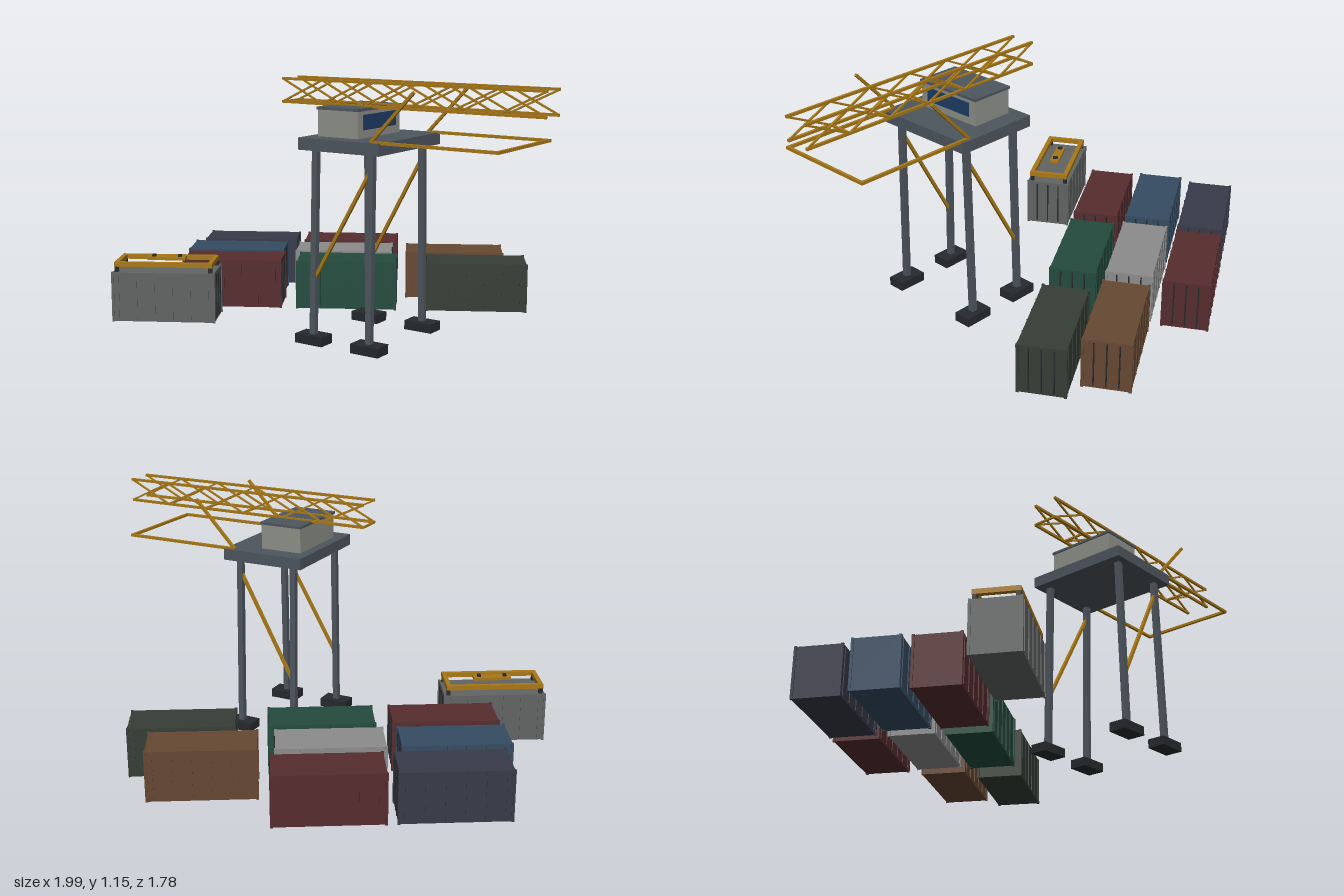
import * as THREE from 'three';

const mat = (color) => new THREE.MeshStandardMaterial({ color });
const yellow = mat(0xa87818), steel = mat(0x4e565e), dark = mat(0x26292d);
const wall = mat(0x8e9089), glass = mat(0x1f3d66);

// Box centred at x, z and spanning y0..y1
function block(parent, name, material, x, y0, y1, z, w, d) {
  const m = new THREE.Mesh(new THREE.BoxGeometry(w, y1 - y0, d), material);
  m.position.set(x, (y0 + y1) / 2, z);
  m.name = name;
  parent.add(m);
  return m;
}

// Square bar between two points
function bar(parent, name, material, a, b, t) {
  const p = new THREE.Vector3(...a), q = new THREE.Vector3(...b);
  const m = new THREE.Mesh(new THREE.BoxGeometry(t, t, p.distanceTo(q)), material);
  m.name = name;
  m.position.copy(p).lerp(q, 0.5);
  const dir = q.clone().sub(p).normalize();
  if (Math.abs(dir.x) < 0.7) m.up.set(1, 0, 0);
  m.lookAt(q);
  parent.add(m);
  return m;
}

function container(color, x, z) {
  const g = new THREE.Group();
  g.name = 'container';
  g.position.set(x, 0, z);
  const paint = mat(color);
  block(g, 'containerBody', paint, 0, 0.002, 0.236, 0, 0.482, 0.212);
  // Side ribs
  for (const s of [-1, 1])
    for (let i = 0; i < 6; i++)
      block(g, 'sideRib', paint, -0.2125 + i * 0.085, 0.012, 0.23, s * 0.107, 0.007, 0.006);
  // Corner posts
  for (const sx of [-1, 1]) for (const sz of [-1, 1])
    block(g, 'cornerPost', paint, sx * 0.239, 0, 0.238, sz * 0.103, 0.012, 0.012);
  // Door lock rods
  for (const dz of [-0.055, 0, 0.055])
    block(g, 'doorRod', dark, 0.243, 0.015, 0.225, dz, 0.006, 0.006);
  return g;
}

function spreader() {
  const g = new THREE.Group();
  g.name = 'spreader';
  g.position.set(-0.756, 0, 0.047);
  for (const s of [-1, 1]) {
    block(g, 'spreaderSideBeam', yellow, 0, 0.262, 0.284, s * 0.087, 0.464, 0.022);
    block(g, 'spreaderEndBeam', yellow, s * 0.221, 0.262, 0.284, 0, 0.022, 0.152);
    block(g, 'sheaveBlock', dark, s * 0.062, 0.294, 0.304, 0, 0.016, 0.024);
    for (const t of [-1, 1])
      block(g, 'twistLock', dark, s * 0.222, 0.236, 0.262, t * 0.087, 0.018, 0.018);
  }
  block(g, 'headBlock', yellow, 0, 0.28, 0.294, 0, 0.18, 0.046);
  return g;
}

function crane() {
  const g = new THREE.Group();
  g.name = 'crane';
  g.position.set(0.215, 0, 0.305);
  g.rotation.y = -Math.PI / 6;

  // Feet, splayed legs and leg braces
  for (const s of [-1, 1]) {
    for (const e of [-1, 1]) {
      block(g, 'foot', dark, e * 0.145, 0, 0.042, s * 0.228, 0.14, 0.086);
      bar(g, 'leg', steel, [e * 0.145, 0.035, s * 0.228], [e * 0.143, 0.87, s * 0.209], 0.027);
    }
    bar(g, 'legBrace', yellow, [-0.144, 0.285, s * 0.224], [0.143, 0.8, s * 0.211], 0.014);
  }

  // Platform and machinery house
  block(g, 'platform', steel, 0, 0.86, 0.913, 0, 0.41, 0.518);
  block(g, 'house', wall, -0.056, 0.91, 1.032, 0, 0.206, 0.343);
  block(g, 'houseRoof', steel, -0.056, 1.03, 1.042, 0, 0.216, 0.353);
  block(g, 'window', glass, 0.047, 0.948, 1.014, 0, 0.008, 0.265);

  // Twin lattice boom
  const boom = new THREE.Group();
  boom.name = 'boom';
  g.add(boom);
  const x0 = -0.43, x1 = 0.86, n = 6, step = (x1 - x0) / n, lo = 1.043, hi = 1.147;
  for (const z of [-0.06, 0.06]) {
    for (const y of [lo, hi]) bar(boom, 'boomChord', yellow, [x0, y, z], [x1, y, z], 0.012);
    for (let i = 0; i < n; i++) {
      const a = x0 + i * step, b = a + step;
      bar(boom, 'boomDiagonal', yellow, [a, lo, z], [b, hi, z], 0.008);
      bar(boom, 'boomDiagonal', yellow, [a, hi, z], [b, lo, z], 0.008);
    }
  }
  for (let i = 0; i < n; i++) {
    const x = x0 + i * step;
    bar(boom, 'boomTie', yellow, [x, lo, -0.06], [x, lo, 0.06], 0.009);
  }

  // Outrigger frame at deck level with raised struts
  for (const s of [-1, 1]) {
    const z = s * 0.242;
    bar(g, 'outriggerArm', yellow, [0.155, 0.914, z], [0.745, 0.914, z], 0.013);
    bar(g, 'outriggerStrut', yellow, [0.155, 0.914, z], [0.36, 1.132, z], 0.013);
  }
  bar(g, 'outriggerEnd', yellow, [0.74, 0.914, -0.248], [0.74, 0.914, 0.248], 0.013);
  return g;
}

export function createModel() {
  const model = new THREE.Group();
  model.name = 'containerYard';
  const yard = [
    [0x383a48, -0.452, -0.775], [0x562c2e, 0.078, -0.775],
    [0x364c62, -0.492, -0.512], [0x8c8c8c, 0.056, -0.512], [0x664832, 0.615, -0.512],
    [0x562c2e, -0.477, -0.257], [0x244c3e, 0.084, -0.257], [0x363e36, 0.714, -0.257],
    [0x626464, -0.756, 0.047],
  ];
  for (const c of yard) model.add(container(...c));
  model.add(spreader(), crane());
  return model;
}
